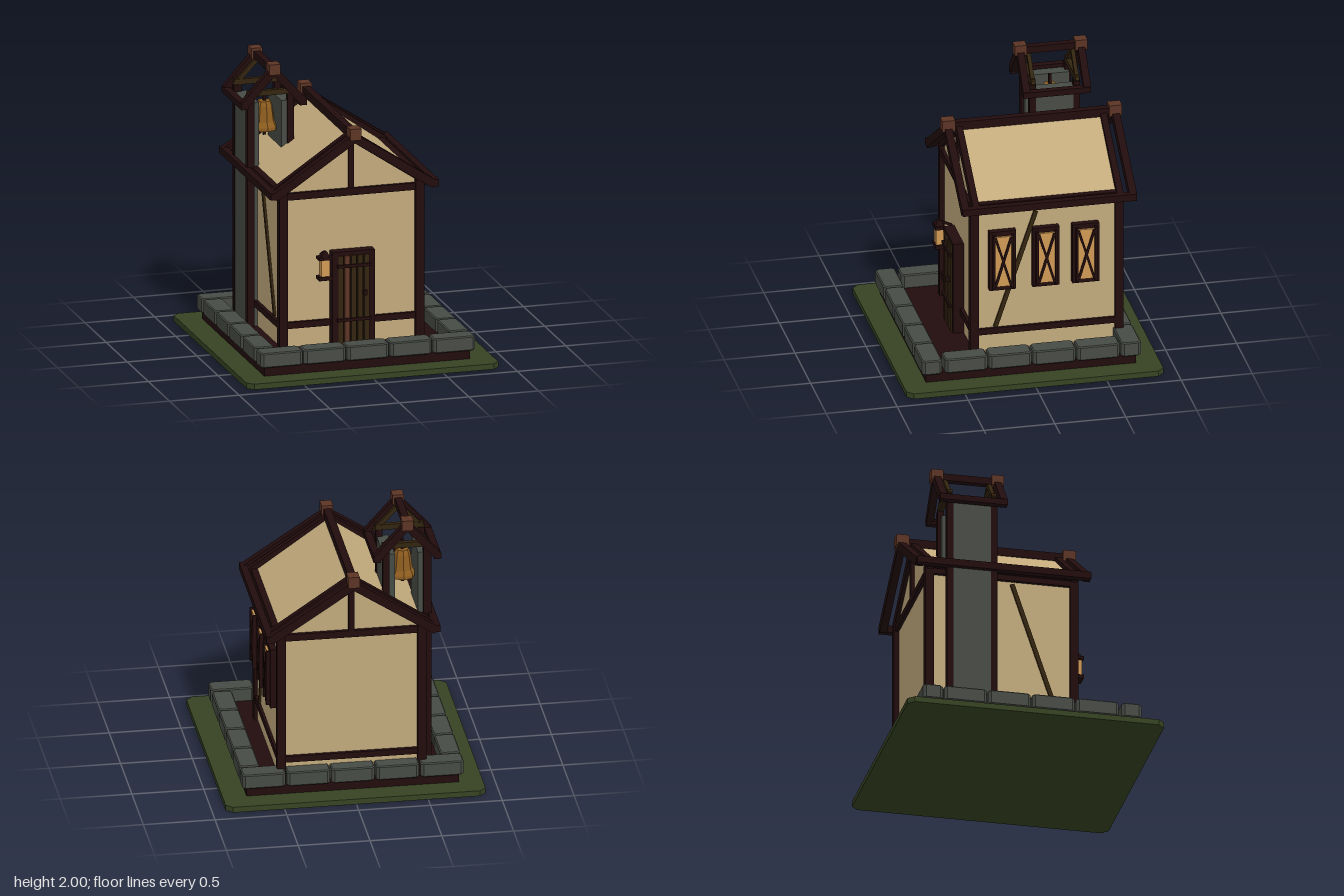
import * as THREE from 'three';

const mat = (name, color) => {
  const m = new THREE.MeshStandardMaterial({ color });
  m.name = name;
  m.flatShading = true;
  return m;
};

export function createModel() {
  const grass = mat('grass', 0x364322);
  const timber = mat('dark timber', 0x220c0d);
  const plaster = mat('plaster', 0xc2aa7c);
  const stone = mat('stone', 0x474b45);
  const brown = mat('red brown wood', 0x5c3424);
  const olive = mat('olive wood', 0x33240f);
  const glass = mat('amber glass', 0xd09a55);
  const bronze = mat('bronze', 0x8f5e20);

  const model = new THREE.Group();
  const add = (name, geo, material, x = 0, y = 0, z = 0) => {
    const mesh = new THREE.Mesh(geo, material);
    mesh.name = name;
    mesh.position.set(x, y, z);
    model.add(mesh);
    return mesh;
  };
  // box given by its limits on each axis
  const box = (name, m, x0, x1, y0, y1, z0, z1) =>
    add(name, new THREE.BoxGeometry(x1 - x0, y1 - y0, z1 - z0), m, (x0 + x1) / 2, (y0 + y1) / 2, (z0 + z1) / 2);
  // beam in the xy plane between two points, z0..z1 deep
  const beamXY = (name, m, ax, ay, bx, by, t, z0, z1) => {
    const b = add(name, new THREE.BoxGeometry(Math.hypot(bx - ax, by - ay), t, z1 - z0), m, (ax + bx) / 2, (ay + by) / 2, (z0 + z1) / 2);
    b.rotation.z = Math.atan2(by - ay, bx - ax);
  };
  // beam in the zy plane between two points, x0..x1 deep
  const beamZY = (name, m, az, ay, bz, by, t, x0, x1) => {
    const b = add(name, new THREE.BoxGeometry(x1 - x0, t, Math.hypot(bz - az, by - ay)), m, (x0 + x1) / 2, (ay + by) / 2, (az + bz) / 2);
    b.rotation.x = -Math.atan2(by - ay, bz - az);
  };
  // flat slab with cut corners and an optional bevel
  const slab = (name, m, x0, x1, y0, y1, z0, z1, cut, bevel = 0) => {
    const w = (x1 - x0) / 2 - bevel, d = (z1 - z0) / 2 - bevel;
    const s = new THREE.Shape([[-w + cut, -d], [w - cut, -d], [w, -d + cut], [w, d - cut],
      [w - cut, d], [-w + cut, d], [-w, d - cut], [-w, -d + cut]].map(p => new THREE.Vector2(...p)));
    const g = new THREE.ExtrudeGeometry(s, { depth: y1 - y0 - 2 * bevel, bevelEnabled: bevel > 0,
      bevelSize: bevel, bevelThickness: bevel, bevelSegments: 1 });
    g.rotateX(-Math.PI / 2);
    add(name, g, m, (x0 + x1) / 2, y0 + bevel, (z0 + z1) / 2);
  };

  // ground, plinth and ring of kerb stones
  slab('ground', grass, -0.905, 0.905, 0, 0.04, -0.905, 0.905, 0.045);
  box('plinth', timber, -0.74, 0.74, 0.04, 0.11, -0.74, 0.74);
  for (let i = 0; i < 5; i++) {
    const x = -0.77 + i * 0.31;
    for (const z of [-0.77, 0.63]) slab('kerbStone', stone, x, x + 0.3, 0.105, 0.21, z, z + 0.14, 0.015, 0.008);
  }
  for (let i = 0; i < 4; i++) {
    const z = -0.62 + i * 0.31;
    for (const x of [-0.77, 0.63]) slab('kerbStone', stone, x, x + 0.14, 0.105, 0.21, z, z + 0.3, 0.015, 0.008);
  }

  // plastered body with gable and roof slopes
  const profile = new THREE.Shape([[-0.495, 0.1], [0.495, 0.1], [0.495, 1.255], [0, 1.605], [-0.495, 1.255]]
    .map(p => new THREE.Vector2(...p)));
  add('plasterBody', new THREE.ExtrudeGeometry(profile, { depth: 1.01, bevelEnabled: false }), plaster, 0, 0, -0.665);

  // timber frame of the walls
  for (const x of [-0.52, 0.46]) {
    for (const z of [-0.7, 0.32]) box('cornerPost', timber, x, x + 0.06, 0.1, 1.24, z, z + 0.06);
    box('sideSill', timber, x, x + 0.055, 0.25, 0.295, -0.69, 0.37);
    box('sidePlate', timber, x, x + 0.06, 1.17, 1.25, -0.69, 0.37);
  }
  for (const z of [-0.69, 0.32]) {
    box('endSill', timber, -0.5, 0.5, 0.25, 0.295, z, z + 0.05);
    box('tieBeam', timber, -0.515, 0.515, 1.17, 1.22, z, z + 0.05);
    box('kingPost', timber, -0.02, 0.02, 1.2, 1.58, z, z + 0.045);
  }
  for (const x of [-0.51, 0.49]) beamZY('wallBrace', olive, 0.2, 0.3, -0.085, 1.15, 0.03, x, x + 0.02);

  // roof timbers: inner and overhanging rafters, eaves, ridge
  for (const s of [-1, 1]) {
    for (const z of [-0.69, 0.325]) beamXY('innerRafter', timber, 0, 1.595, s * 0.55, 1.225, 0.065, z, z + 0.045);
    for (const z of [-0.78, 0.4]) beamXY('bargeRafter', timber, 0, 1.6, s * 0.575, 1.222, 0.06, z, z + 0.052);
    box('eaveBeam', timber, s * 0.58 - 0.025, s * 0.58 + 0.025, 1.205, 1.255, -0.775, 0.45);
    box('innerEave', timber, s * 0.515 - 0.025, s * 0.515 + 0.025, 1.21, 1.255, -0.69, 0.37);
  }
  box('ridgeBeam', timber, -0.027, 0.027, 1.59, 1.65, -0.78, 0.45);
  for (const z of [-0.75, 0.425]) box('ridgeCap', brown, -0.04, 0.04, 1.59, 1.672, z - 0.045, z + 0.045);

  // windows on the left wall
  for (const z of [0.155, -0.15, -0.43]) {
    box('windowFrame', timber, 0.48, 0.54, 0.592, 1.035, z - 0.094, z + 0.094);
    box('windowPane', glass, 0.53, 0.555, 0.625, 1.0, z - 0.06, z + 0.06);
    for (const s of [-1, 1]) {
      beamZY('windowLattice', timber, z - s * 0.055, 0.63, z + s * 0.055, 0.995, 0.016, 0.55, 0.568);
      box('windowStile', timber, 0.535, 0.567, 0.61, 1.015, z + s * 0.066 - 0.008, z + s * 0.066 + 0.008);
    }
  }

  // plank door
  box('doorBack', timber, -0.14, 0.14, 0.11, 0.78, 0.34, 0.405);
  for (const x of [-0.152, 0.11]) box('doorJamb', timber, x, x + 0.042, 0.11, 0.785, 0.34, 0.42);
  box('doorLintel', timber, -0.152, 0.152, 0.755, 0.785, 0.34, 0.42);
  for (let i = 0; i < 5; i++) {
    const x = -0.093 + i * 0.046;
    box('doorPlank', i === 1 ? brown : olive, x - 0.018, x + 0.018, 0.11, 0.757, 0.38, 0.43);
  }
  for (const y of [0.3, 0.685]) box('doorStrap', timber, -0.12, 0.12, y - 0.011, y + 0.011, 0.42, 0.442);
  box('doorHandle', timber, 0.06, 0.085, 0.472, 0.508, 0.42, 0.46);

  // lantern beside the door
  const lx = -0.215, lz = 0.44;
  box('lanternBase', timber, lx - 0.05, lx + 0.05, 0.605, 0.632, lz - 0.035, lz + 0.035);
  box('lanternGlass', glass, lx - 0.032, lx + 0.032, 0.632, 0.75, lz - 0.025, lz + 0.025);
  box('lanternLid', timber, lx - 0.05, lx + 0.05, 0.75, 0.772, lz - 0.035, lz + 0.035);
  const roof = add('lanternRoof', new THREE.CylinderGeometry(0.018, 0.048, 0.04, 4), timber, lx, 0.788, lz);
  roof.rotation.y = Math.PI / 4;
  beamZY('lanternBracket', timber, 0.34, 0.755, lz, 0.802, 0.015, lx - 0.008, lx + 0.008);

  // bell tower: stone cheeks and posts
  const tx = -0.4, tz = -0.383;
  box('towerOuterStone', stone, -0.57, -0.485, 0.105, 1.71, -0.54, -0.225);
  box('towerInnerStone', stone, -0.325, -0.245, 1.32, 1.71, -0.54, -0.225);
  for (const z of [-0.56, -0.25]) {
    box('towerOuterPost', timber, -0.575, -0.522, 0.105, 1.76, z, z + 0.045);
    box('towerInnerPost', timber, -0.285, -0.238, 1.35, 1.76, z, z + 0.045);
    box('towerTie', olive, -0.57, -0.235, 1.758, 1.797, z + 0.005, z + 0.038);
    for (const s of [-1, 1]) beamXY('towerInnerRafter', olive, tx, 1.935, tx + s * 0.17, 1.755, 0.03, z + 0.008, z + 0.035);
  }

  // bell tower roof frame
  for (const s of [-1, 1]) {
    for (const z of [-0.622, -0.195]) beamXY('towerRafter', timber, tx, 1.95, tx + s * 0.212, 1.715, 0.055, z, z + 0.05);
    box('towerEave', timber, tx + s * 0.21 - 0.025, tx + s * 0.21 + 0.025, 1.688, 1.73, -0.62, -0.145);
  }
  box('towerRidge', timber, tx - 0.025, tx + 0.025, 1.93, 1.98, -0.62, -0.145);
  for (const z of [-0.597, -0.17]) box('towerCap', brown, tx - 0.04, tx + 0.04, 1.925, 2.0, z - 0.043, z + 0.043);

  // bell with hanger and clapper
  const bellProfile = [[0, 1.675], [0.045, 1.675], [0.058, 1.64], [0.072, 1.53], [0.09, 1.495], [0.09, 1.472], [0.07, 1.472], [0.05, 1.62], [0, 1.64]]
    .map(p => new THREE.Vector2(...p)).reverse();
  add('bell', new THREE.LatheGeometry(bellProfile, 8), bronze, tx, 0, tz);
  box('bellHanger', timber, tx - 0.01, tx + 0.01, 1.66, 1.75, tz - 0.01, tz + 0.01);
  box('bellClapper', timber, tx - 0.01, tx + 0.01, 1.43, 1.65, tz - 0.01, tz + 0.01);
  return model;
}
